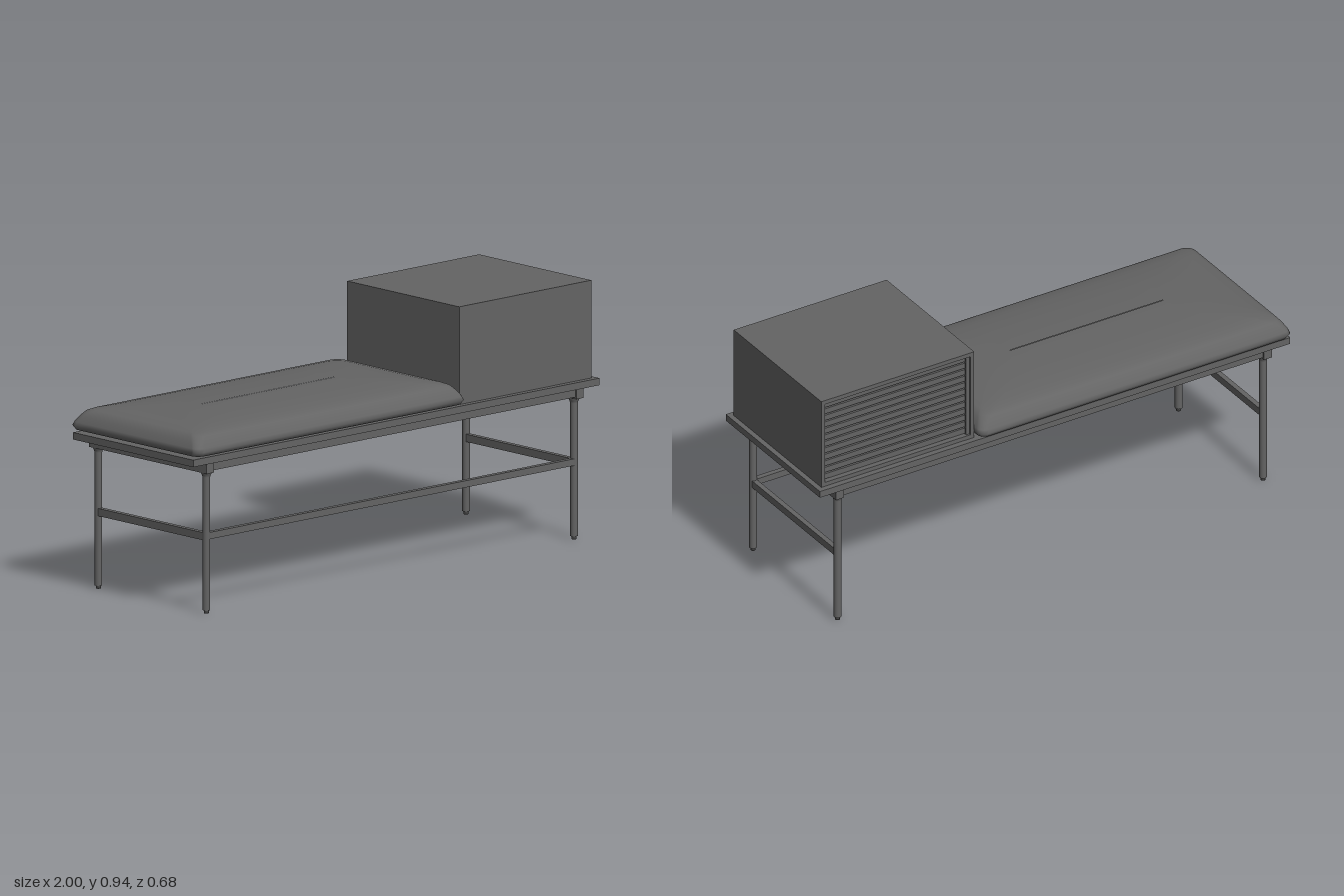
import * as THREE from 'three';

const grey = new THREE.MeshStandardMaterial({ color: 0x646464 });
grey.name = 'charcoal grey';

function add(parent, name, geometry, x = 0, y = 0, z = 0) {
  const mesh = new THREE.Mesh(geometry, grey);
  mesh.name = name;
  mesh.position.set(x, y, z);
  parent.add(mesh);
  return mesh;
}

// Box given by its min and max along each axis
function block(parent, name, x0, x1, y0, y1, z0, z1) {
  return add(parent, name, new THREE.BoxGeometry(x1 - x0, y1 - y0, z1 - z0),
    (x0 + x1) / 2, (y0 + y1) / 2, (z0 + z1) / 2);
}

// Soft pad made of stacked rounded-rectangle rings: [inset, height]
function cushionGeometry(halfX, halfZ) {
  const rings = [[0.3, 0.586], [0.03, 0.586], [0.008, 0.593], [0, 0.608], [0.005, 0.622],
    [0.018, 0.643], [0.032, 0.66], [0.05, 0.668], [0.09, 0.676], [0.16, 0.683],
    [0.24, 0.687], [0.337, 0.688]];
  const arc = 6, side = 8, positions = [], index = [];
  let count = 0;
  rings.forEach(([inset, y]) => {
    const a = halfX - inset, b = Math.max(halfZ - inset, 0.0005);
    const r = Math.min(0.03 + inset * 0.25, b);
    const corners = [[1, 1], [-1, 1], [-1, -1], [1, -1]];
    const loop = [];
    corners.forEach(([sx, sz], c) => {
      for (let i = 0; i <= arc; i++) {
        const t = (c + i / arc) * Math.PI / 2;
        loop.push([sx * (a - r) + r * Math.cos(t), sz * (b - r) + r * Math.sin(t)]);
      }
    });
    // Subdivide the straight runs between the corners
    count = 0;
    loop.forEach((p, i) => {
      const q = loop[(i + 1) % loop.length];
      const steps = i % (arc + 1) === arc ? side : 1;
      for (let s = 0; s < steps; s++) {
        const k = s / steps;
        positions.push(p[0] + (q[0] - p[0]) * k, y, p[1] + (q[1] - p[1]) * k);
        count++;
      }
    });
  });
  for (let j = 0; j < rings.length - 1; j++) {
    for (let i = 0; i < count; i++) {
      const n = (i + 1) % count;
      const a = j * count + i, b = j * count + n;
      index.push(a, a + count, b, b, a + count, b + count);
    }
  }
  const geometry = new THREE.BufferGeometry();
  geometry.setAttribute('position', new THREE.Float32BufferAttribute(positions, 3));
  geometry.setIndex(index);
  geometry.computeVertexNormals();
  return geometry;
}

export function createModel() {
  const model = new THREE.Group();
  model.name = 'benchWithCabinet';

  // Board and cushion
  block(model, 'benchTop', -1, 1, 0.557, 0.583, -0.317, 0.317);
  add(model, 'cushion', cushionGeometry(0.664, 0.338), -0.335, 0, 0);

  // Frame under the board
  const frame = new THREE.Group();
  frame.name = 'frame';
  model.add(frame);
  for (const s of [-1, 1]) {
    add(frame, 'endRail', new THREE.BoxGeometry(0.035, 0.037, 0.62), s * 0.91, 0.5385, 0);
    add(frame, 'longRail', new THREE.BoxGeometry(1.785, 0.03, 0.03), 0, 0.542, s * 0.29);
    add(frame, 'endStretcher', new THREE.BoxGeometry(0.02, 0.028, 0.55), s * 0.905, 0.283, 0);
  }
  block(frame, 'frontStretcher', -0.9, 0.9, 0.273, 0.298, 0.275, 0.295);

  // Round legs with a stepped foot and a flared top
  const legProfile = [[0, 0], [0.009, 0], [0.009, 0.01], [0.014, 0.012], [0.014, 0.502],
    [0.016, 0.51], [0.02, 0.517], [0.02, 0.522]].map(([r, y]) => new THREE.Vector2(r, y));
  for (const x of [-0.905, 0.905]) {
    for (const z of [-0.284, 0.284]) {
      add(frame, 'leg', new THREE.LatheGeometry(legProfile, 20), x, 0, z);
    }
  }

  // Cabinet shell, open at the back
  const cabinet = new THREE.Group();
  cabinet.name = 'cabinet';
  model.add(cabinet);
  const x0 = 0.33, x1 = 0.98, y0 = 0.583, y1 = 0.943, d = 0.295, w = 0.016;
  block(cabinet, 'cabinetBottom', x0, x1, y0, y0 + w, -d, d);
  block(cabinet, 'cabinetTop', x0, x1, y1 - w, y1, -d, d);
  block(cabinet, 'cabinetSide', x0, x0 + w, y0 + w, y1 - w, -d, d);
  block(cabinet, 'cabinetSide', x1 - w, x1, y0 + w, y1 - w, -d, d);
  block(cabinet, 'cabinetFront', x0 + w, x1 - w, y0 + w, y1 - w, d - w, d);

  // Slatted shutter, set into the back opening
  const slats = 12, pitch = (y1 - y0 - 2 * w) / slats;
  block(cabinet, 'shutterBacking', x0 + w, x1 - w, y0 + w, y1 - w, -0.268, -0.26);
  for (let i = 0; i < slats; i++) {
    const y = y0 + w + i * pitch;
    block(cabinet, 'shutterSlat', x0 + w, x1 - w, y + 0.003, y + pitch - 0.003, -0.279, -0.268);
  }
  block(cabinet, 'shutterHandle', x0 + w, x0 + w + 0.014, y0 + w, y1 - w, -0.287, -0.268);

  // Fixing caps below the cabinet
  for (const [x, z] of [[0.967, 0.065], [0.967, -0.235], [0.35, 0.065], [0.35, -0.235]]) {
    add(model, 'fixingCap', new THREE.CylinderGeometry(0.015, 0.013, 0.01, 16), x, 0.552, z);
  }
  return model;
}
